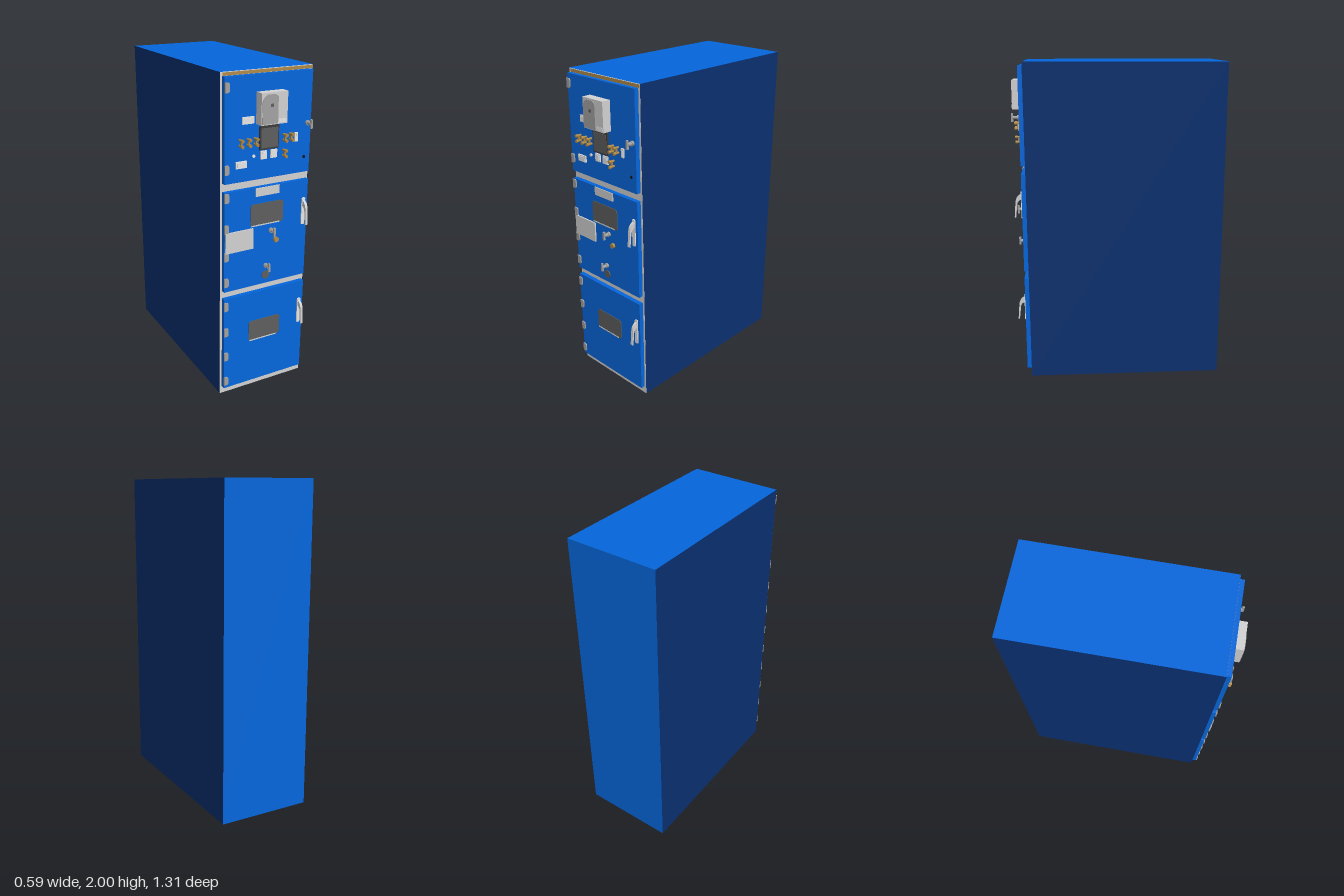
import * as THREE from 'three';

const mat = (name, color, side = THREE.FrontSide) => {
  const m = new THREE.MeshStandardMaterial({ color, side });
  m.name = name;
  return m;
};

export function createModel() {
  const blue = mat('blue paint', 0x0466dc, THREE.DoubleSide);
  const navy = mat('navy paint', 0x0a3070, THREE.DoubleSide);
  const light = mat('light grey', 0xd2d2d2);
  const white = mat('off white', 0xf2f2f2);
  const grey = mat('mid grey', 0xa2a2a2);
  const dark = mat('dark grey', 0x5e5e5e);
  const charcoal = mat('charcoal', 0x3c3c3c);
  const black = mat('black lining', 0x121212);
  const brass = mat('brass', 0xb08a48);
  const model = new THREE.Group();
  model.name = 'switchgearCabinet';

  const W = 0.295, BACK = -0.65, FRONT = 0.567, DOOR = 0.595;

  function add(name, geo, material, x = 0, y = 0, z = 0, parent = model) {
    const mesh = new THREE.Mesh(geo, material);
    mesh.name = name;
    mesh.position.set(x, y, z);
    parent.add(mesh);
    return mesh;
  }
  // box given by its limits
  const block = (name, m, x0, x1, y0, y1, z0, z1, parent) =>
    add(name, new THREE.BoxGeometry(x1 - x0, y1 - y0, z1 - z0), m,
      (x0 + x1) / 2, (y0 + y1) / 2, (z0 + z1) / 2, parent);
  // cylinder lying along z, from z0 to z1
  const stud = (name, m, r, x, y, z0, z1, parent) => {
    const g = new THREE.CylinderGeometry(r, r, z1 - z0, 16).rotateX(Math.PI / 2);
    return add(name, g, m, x, y, (z0 + z1) / 2, parent);
  };
  const rect = (s, x0, x1, y0, y1) =>
    s.moveTo(x0, y0).lineTo(x1, y0).lineTo(x1, y1).lineTo(x0, y1).closePath();
  function rounded(w, h, r) {
    const s = new THREE.Shape(), a = w / 2, b = h / 2;
    s.absarc(a - r, b - r, r, 0, Math.PI / 2);
    s.absarc(r - a, b - r, r, Math.PI / 2, Math.PI);
    s.absarc(r - a, r - b, r, Math.PI, 1.5 * Math.PI);
    s.absarc(a - r, r - b, r, 1.5 * Math.PI, 2 * Math.PI);
    return s;
  }
  const extrude = (shape, depth) =>
    new THREE.ExtrudeGeometry(shape, { depth, bevelEnabled: false, curveSegments: 6 });

  // sheet shell, open underneath and at the front, with darker sides
  const D = FRONT - BACK, midZ = (FRONT + BACK) / 2;
  for (const s of [-1, 1]) {
    add('sidePanel', new THREE.PlaneGeometry(D, 2).rotateY(s * Math.PI / 2), navy, s * W, 1, midZ);
  }
  add('roofPanel', new THREE.PlaneGeometry(2 * W, D).rotateX(-Math.PI / 2), blue, 0, 2, midZ);
  add('backPanel', new THREE.PlaneGeometry(2 * W, 2).rotateY(Math.PI), blue, 0, 1, BACK);

  // front frame with one opening per door
  const doors = [[0.05, 0.667], [0.715, 1.333], [1.383, 1.977]];
  const frame = rect(new THREE.Shape(), -W + 0.001, W - 0.001, 0, 1.998);
  for (const [y0, y1] of doors) {
    frame.holes.push(rect(new THREE.Path(), -0.275, 0.275, y0 + 0.01, y1 - 0.01));
  }
  add('frontFrame', extrude(frame, 0.04), light, 0, 0, FRONT - 0.04);
  block('topStrip', brass, -0.28, 0.29, 1.978, 1.996, FRONT, FRONT + 0.001);

  // doors with dark inner lining
  for (const [y0, y1] of doors) {
    block('door', blue, -0.281, 0.281, y0, y1, FRONT, DOOR);
    block('doorLining', black, -0.274, 0.274, y0 + 0.011, y1 - 0.011, 0.535, 0.54);
  }

  // hinges with chamfered corners
  const hinge = new THREE.Shape([[-0.014, -0.028], [0.008, -0.028], [0.014, -0.02],
    [0.014, 0.02], [0.008, 0.028], [-0.014, 0.028]].map(p => new THREE.Vector2(...p)));
  for (const y of [0.1, 0.275, 0.445, 0.617, 0.777, 0.942, 1.112, 1.3, 1.465, 1.92]) {
    add('hinge', extrude(hinge, 0.008), grey, -0.268, y, DOOR);
  }

  // inspection windows with a ledge
  for (const [y0, y1] of [[0.34, 0.475], [1.1, 1.235]]) {
    add('window', extrude(rounded(0.22, y1 - y0, 0.018), 0.004), dark, 0, (y0 + y1) / 2, DOOR);
    block('windowLedge', light, -0.105, 0.085, y0 - 0.001, y0 + 0.006, DOOR, DOOR + 0.006);
  }

  // swing handles: backplate plus curved lever
  for (const y of [0.465, 1.137]) {
    const h = new THREE.Group();
    h.name = 'doorHandle';
    h.position.set(0.252, y, DOOR);
    model.add(h);
    add('handlePlate', extrude(rounded(0.024, 0.17, 0.008), 0.006), white, 0, 0, 0, h);
    const lever = new THREE.Shape();
    lever.moveTo(0.004, 0.07).quadraticCurveTo(0.035, 0.06, 0.04, 0.02)
      .lineTo(0.048, -0.075).lineTo(0.04, -0.08)
      .lineTo(0.03, 0.005).quadraticCurveTo(0.025, 0.03, 0.004, 0.035).closePath();
    const g = extrude(lever, 0.016).rotateY(-Math.PI / 2);
    add('handleLever', g, light, 0.008, 0, 0, h);
  }

  // knobs: shaft, flange and grip bar
  function knob(x, y) {
    const k = new THREE.Group();
    k.name = 'rotaryKnob';
    k.position.set(x, y, DOOR);
    model.add(k);
    stud('knobBase', grey, 0.015, 0, 0, 0, 0.012, k);
    stud('knobShaft', grey, 0.01, 0, 0, 0.012, 0.038, k);
    block('knobGrip', grey, -0.006, 0.006, -0.026, 0.026, 0.034, 0.047, k);
  }
  knob(0.03, 1.055);
  knob(0, 0.832);
  knob(0.257, 1.675);
  stud('lockBarrel', brass, 0.016, 0.065, 0.99, DOOR, 0.61);
  stud('keySocket', dark, 0.026, 0, 0.772, DOOR, 0.601);

  // middle door plates
  block('labelPlate', light, -0.08, 0.08, 1.28, 1.331, DOOR, 0.6);
  block('sidePlate', light, -0.276, -0.092, 0.963, 1.09, DOOR, 0.604);

  // protection relay with raised cover
  block('relayBody', light, -0.085, 0.083, 1.705, 1.883, DOOR, 0.65);
  const cover = new THREE.Shape();
  cover.moveTo(-0.08, 1.71).lineTo(0.02, 1.71).lineTo(0.02, 1.86).lineTo(0, 1.873)
    .lineTo(-0.045, 1.873).quadraticCurveTo(-0.08, 1.86, -0.08, 1.82).closePath();
  add('relayCover', extrude(cover, 0.004), grey, 0, 0, 0.65);
  block('relayDisplay', dark, -0.03, -0.01, 1.805, 1.822, 0.654, 0.656);
  block('relayKeypad', white, 0.022, 0.076, 1.712, 1.733, 0.65, 0.652);

  // dark meter below the relay
  block('meterBody', charcoal, -0.064, 0.06, 1.555, 1.692, DOOR, 0.606);
  block('meterFace', dark, -0.056, 0.052, 1.565, 1.678, 0.606, 0.609);

  // test terminals: two studs joined by a bar
  for (const [x, y] of [[-0.187, 1.61], [-0.138, 1.61], [-0.092, 1.61],
    [0.098, 1.61], [0.14, 1.61], [0.098, 1.52]]) {
    const t = new THREE.Group();
    t.name = 'testTerminal';
    t.position.set(x, y, DOOR);
    model.add(t);
    for (const s of [-1, 1]) {
      stud('terminalStud', brass, 0.007, 0, s * 0.016, 0, 0.04, t);
      stud('terminalCap', brass, 0.01, 0, s * 0.016, 0.026, 0.038, t);
    }
    block('terminalBar', brass, -0.005, 0.005, -0.016, 0.016, 0.012, 0.022, t);
  }

  // small switches and plates on the upper door
  for (const [x0, x1, y0, y1] of [[-0.175, -0.102, 1.712, 1.752], [-0.213, -0.145, 1.465, 1.505],
    [-0.055, -0.015, 1.5, 1.548], [0.01, 0.053, 1.5, 1.548], [0.169, 0.19, 1.575, 1.628]]) {
    block('switchPlate', white, x0, x1, y0, y1, DOOR, 0.604);
    block('switchRocker', white, x0 + 0.007, x1 - 0.007, y0 + 0.008, y1 - 0.008, 0.604, 0.607);
  }
  stud('signalLamp', white, 0.009, -0.098, 1.524, DOOR, 0.602);
  stud('keyhole', black, 0.009, 0.242, 1.475, DOOR, 0.598);
  return model;
}
